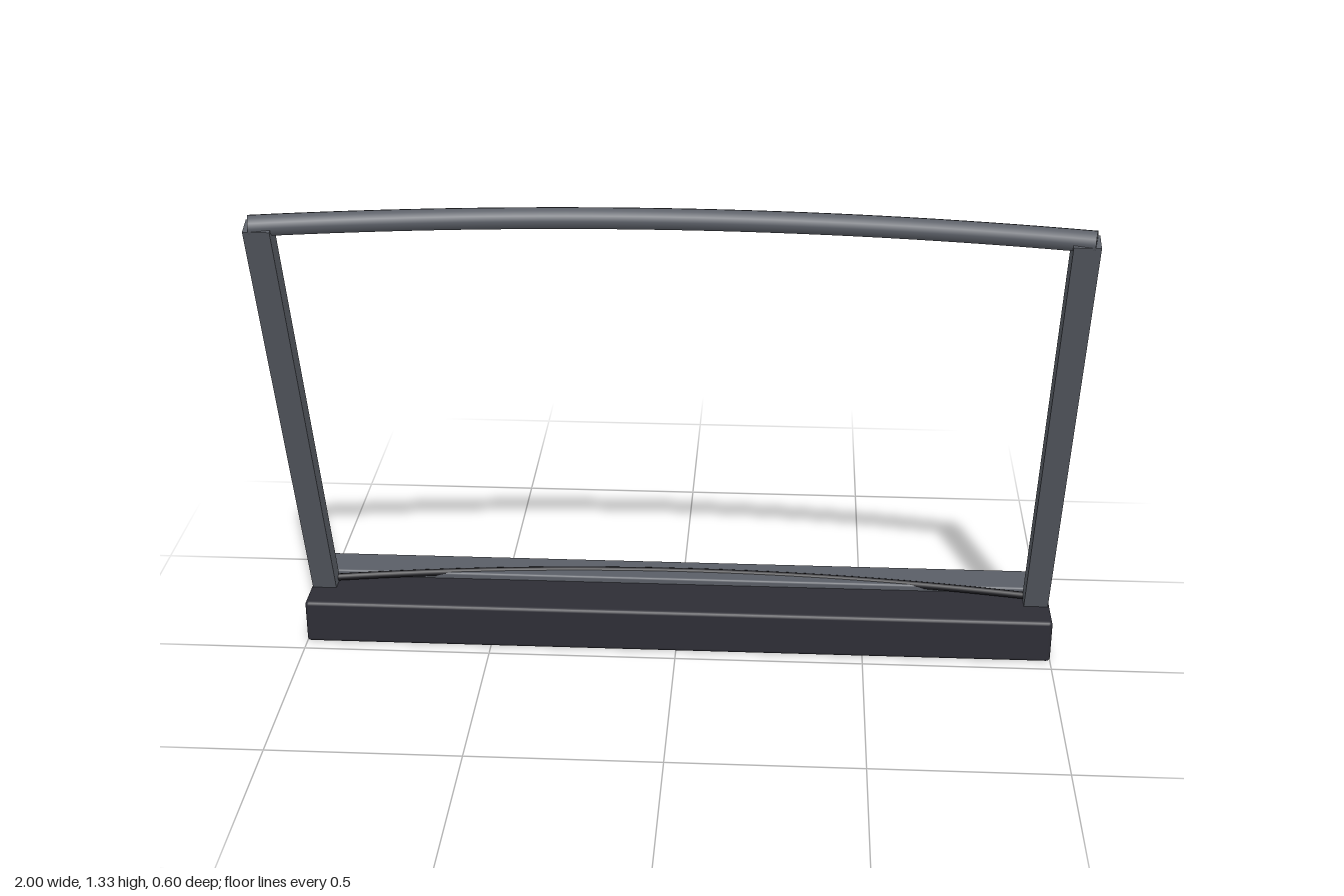
import * as THREE from 'three';
import { RoundedBoxGeometry } from 'three/addons/geometries/RoundedBoxGeometry.js';

const frameGrey = new THREE.MeshStandardMaterial({ color: 0x5a5e66 });
frameGrey.name = 'frame grey';
const baseCharcoal = new THREE.MeshStandardMaterial({ color: 0x2d2d35 });
baseCharcoal.name = 'base charcoal';
const sealBlack = new THREE.MeshStandardMaterial({ color: 0x1c1c20 });
sealBlack.name = 'seal black';

// Round bar bowed along z, with closed ends
function bowedBar(name, halfWidth, y, zMiddle, zEnd, radius, sides, material) {
  const group = new THREE.Group();
  group.name = name;
  const curve = new THREE.QuadraticBezierCurve3(
    new THREE.Vector3(-halfWidth, y, zEnd),
    new THREE.Vector3(0, y, 2 * zMiddle - zEnd),
    new THREE.Vector3(halfWidth, y, zEnd)
  );
  const bar = new THREE.Mesh(new THREE.TubeGeometry(curve, 32, radius, sides), material);
  bar.name = name + 'Tube';
  group.add(bar);
  for (const t of [0, 1]) {
    const cap = new THREE.Mesh(new THREE.CircleGeometry(radius, sides), material);
    cap.name = name + 'End';
    const outward = curve.getTangent(t).multiplyScalar(t ? 1 : -1);
    cap.position.copy(curve.getPoint(t));
    cap.quaternion.setFromUnitVectors(new THREE.Vector3(0, 0, 1), outward);
    group.add(cap);
  }
  return group;
}

export function createModel() {
  const model = new THREE.Group();
  model.name = 'windscreenFrame';

  const add = (name, geometry, material, x, y, z) => {
    const mesh = new THREE.Mesh(geometry, material);
    mesh.name = name;
    mesh.position.set(x, y, z);
    model.add(mesh);
    return mesh;
  };

  // Base beam and the raised plate along its rear
  add('base', new RoundedBoxGeometry(2, 0.12, 0.264, 2, 0.01), baseCharcoal, 0, 0.06, -0.168);
  add('rearPlate', new RoundedBoxGeometry(1.98, 0.03, 0.1, 2, 0.006), frameGrey, 0, 0.122, -0.243);

  // Leaning side posts
  const foot = new THREE.Vector2(-0.155, 0.1);
  const head = new THREE.Vector2(0.272, 1.3);
  const lean = head.clone().sub(foot);
  for (const side of [1, -1]) {
    const post = add(
      side > 0 ? 'leftPost' : 'rightPost',
      new THREE.BoxGeometry(0.064, lean.length(), 0.048),
      frameGrey,
      side * 0.962, (foot.y + head.y) / 2, (foot.x + head.x) / 2
    );
    post.rotation.x = Math.atan2(lean.x, lean.y);
  }

  // Curved header and the lower glass seal
  model.add(bowedBar('header', 0.985, 1.3, 0.17, 0.272, 0.026, 12, frameGrey));
  model.add(bowedBar('lowerSeal', 0.94, 0.133, -0.243, -0.158, 0.01, 8, sealBlack));

  return model;
}
